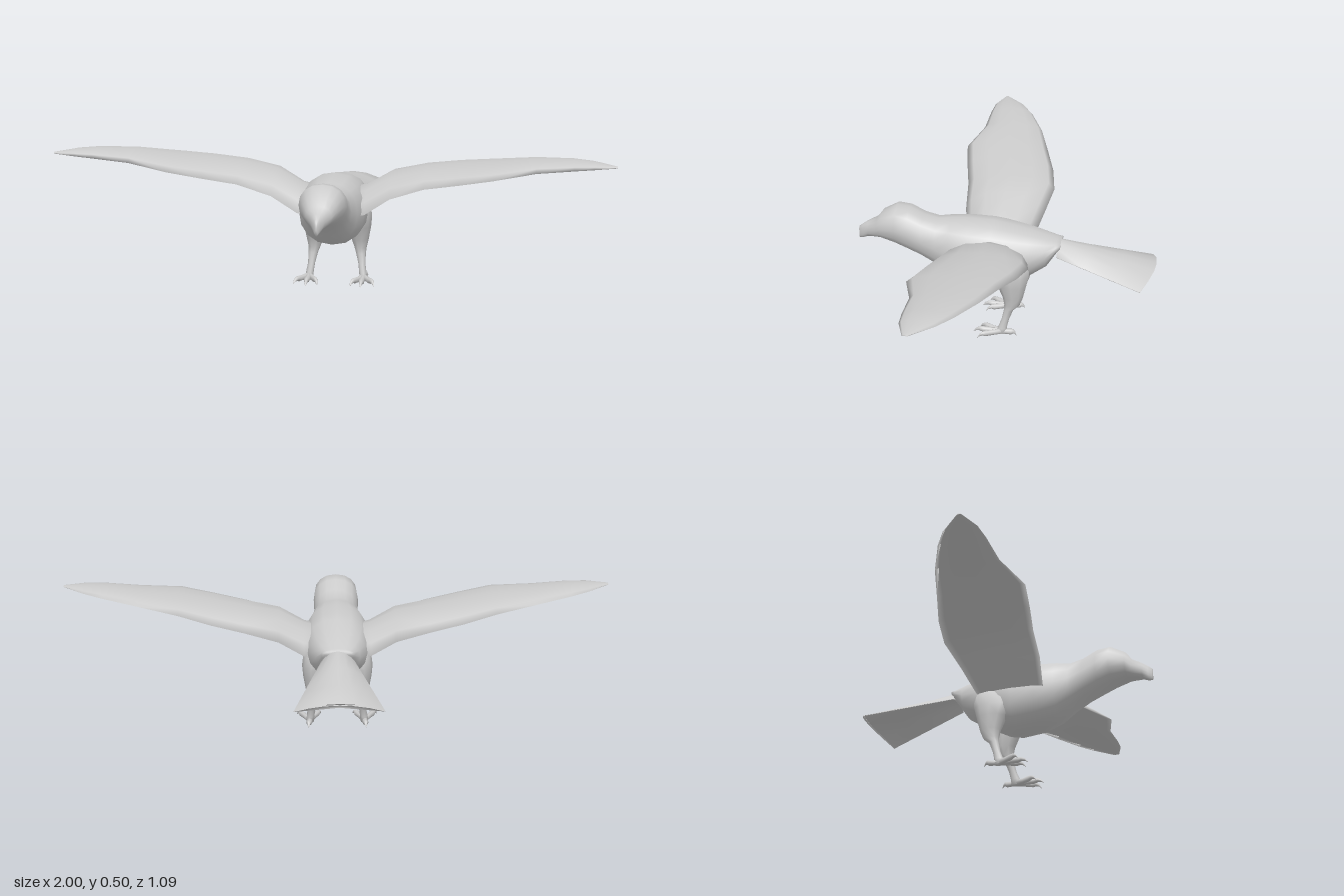
import * as THREE from 'three';

const material = new THREE.MeshStandardMaterial({ color: 0xcccccc, side: THREE.DoubleSide });

// Smooth closed skin over a row of rings, each an array of [x, y, z]
function loft(rings) {
  const n = rings[0].length;
  const pos = rings.flat();
  const tris = [];
  for (let i = 0; i < rings.length - 1; i++) {
    for (let j = 0; j < n; j++) {
      const a = i * n + j, b = i * n + (j + 1) % n;
      tris.push([a, b, b + n], [a, b + n, a + n]);
    }
  }
  // end caps, fanned from the middle of each end ring
  for (const [start, flip] of [[0, true], [(rings.length - 1) * n, false]]) {
    const ring = pos.slice(start, start + n);
    const c = pos.length;
    pos.push([0, 1, 2].map(k => ring.reduce((s, p) => s + p[k], 0) / n));
    for (let j = 0; j < n; j++) {
      const a = start + j, b = start + (j + 1) % n;
      tris.push(flip ? [c, b, a] : [c, a, b]);
    }
  }
  // turn all faces outward, judged by the signed volume
  const v = i => new THREE.Vector3(...pos[i]);
  const volume = tris.reduce((s, [a, b, c]) => s + v(a).dot(v(b).cross(v(c))), 0);
  if (volume < 0) tris.forEach(t => t.reverse());
  const g = new THREE.BufferGeometry();
  g.setAttribute('position', new THREE.Float32BufferAttribute(pos.flat(), 3));
  g.setIndex(tris.flat());
  g.computeVertexNormals();
  return g;
}

// n points around a slightly squared circle
function round(n, power = 1) {
  const soft = t => Math.sign(t) * Math.abs(t) ** power;
  return Array.from({ length: n }, (_, i) => {
    const a = (i / n) * Math.PI * 2;
    return [soft(Math.cos(a)), soft(Math.sin(a))];
  });
}

function part(name, geometry) {
  const mesh = new THREE.Mesh(geometry, material);
  mesh.name = name;
  return mesh;
}

// Beak, head, neck and trunk in one skin: [z, top, bottom, half width]
function body() {
  const sections = [
    [0.545, 0.35, 0.305, 0.006], [0.53, 0.362, 0.306, 0.014], [0.51, 0.375, 0.315, 0.025],
    [0.475, 0.392, 0.318, 0.045], [0.455, 0.42, 0.318, 0.06], [0.4, 0.449, 0.303, 0.08],
    [0.353, 0.443, 0.283, 0.084], [0.303, 0.418, 0.26, 0.082], [0.25, 0.405, 0.228, 0.085],
    [0.2, 0.412, 0.192, 0.1], [0.134, 0.415, 0.169, 0.118], [0.047, 0.412, 0.16, 0.122],
    [0, 0.405, 0.17, 0.12], [-0.09, 0.385, 0.215, 0.105], [-0.15, 0.368, 0.255, 0.08],
    [-0.185, 0.356, 0.31, 0.06], [-0.2, 0.352, 0.33, 0.05],
  ];
  return loft(sections.map(([z, top, bottom, w]) => round(16, 0.9).map(([c, s]) =>
    [c * w, (top + bottom) / 2 + s * (top - bottom) / 2, z])));
}

// Cambered wing with a hollow underside: [x, leading z, trailing z, top, bottom]
function wing() {
  const sections = [
    [0.05, 0.16, -0.07, 0.36, 0.28], [0.12, 0.17, -0.08, 0.377, 0.29],
    [0.21, 0.187, -0.108, 0.425, 0.353], [0.33, 0.2, -0.128, 0.446, 0.395],
    [0.45, 0.225, -0.107, 0.463, 0.418], [0.57, 0.246, -0.07, 0.477, 0.442],
    [0.72, 0.203, -0.024, 0.491, 0.463], [0.85, 0.2, 0.033, 0.498, 0.475],
    [0.92, 0.194, 0.075, 0.496, 0.48], [1, 0.166, 0.15, 0.487, 0.482],
  ];
  const n = 6;
  return loft(sections.map(([x, lead, trail, top, bottom]) => {
    const hollow = 0.45 * THREE.MathUtils.smoothstep(x, 0.1, 0.4);
    return Array.from({ length: 2 * n }, (_, i) => {
      const a = (i / n) * Math.PI;
      const height = Math.abs(Math.sin(a)) * (i <= n ? 1 : hollow);
      return [x, bottom + height * (top - bottom), (lead + trail) / 2 + Math.cos(a) * (lead - trail) / 2];
    });
  }));
}

// Fan of tail feathers, arched across
function tail() {
  const across = [-1, -0.67, -0.33, 0, 0.33, 0.67, 1];
  const rings = [0, 0.33, 0.67, 1].map(t => {
    const point = (u, drop) => [
      u * THREE.MathUtils.lerp(0.06, 0.155, t),
      THREE.MathUtils.lerp(0.354, 0.289, t) - u * u * 0.044 - drop,
      THREE.MathUtils.lerp(-0.19, -0.545, t) + u * u * 0.045 * t,
    ];
    return [...across.map(u => point(u, 0)), ...across.map(u => point(-u, 0.006 - 0.004 * u * u))];
  });
  return loft(rings);
}

// Feathered thigh narrowing to the shank: [y, x, z, radius x, radius z]
function leg() {
  const sections = [
    [0.3, 0.08, -0.03, 0.04, 0.07], [0.24, 0.083, -0.028, 0.045, 0.07],
    [0.2, 0.082, -0.033, 0.042, 0.055], [0.15, 0.083, -0.037, 0.032, 0.038],
    [0.12, 0.085, -0.034, 0.023, 0.029], [0.1, 0.088, -0.022, 0.018, 0.018],
    [0.06, 0.093, -0.01, 0.013, 0.014], [0.028, 0.098, 0, 0.014, 0.017], [0.008, 0.1, 0, 0.014, 0.02],
  ];
  return loft(sections.map(([y, x, z, rx, rz]) => round(10).map(([c, s]) => [x + c * rx, y, z + s * rz])));
}

// One toe from the ankle to a hooked claw: [share of length, height, radius]
function toe(tipX, tipZ) {
  const profile = [[0, 0.016, 0.012], [0.35, 0.015, 0.01], [0.65, 0.016, 0.011],
    [0.78, 0.018, 0.008], [0.9, 0.014, 0.005], [1, 0.004, 0.001]];
  return loft(profile.map(([t, y, r]) => round(8).map(([c, s]) =>
    [0.1 + (tipX - 0.1) * t + c * r, y + s * r, tipZ * t])));
}

export function createModel() {
  const model = new THREE.Group();
  model.name = 'bird';
  model.add(part('body', body()), part('tail', tail()));

  const wingGeometry = wing();
  const legGeometry = leg();
  const toes = [[0.06, 0.088], [0.1, 0.107], [0.147, 0.085], [0.105, -0.053]].map(p => toe(...p));

  // paired limbs, mirrored across the middle
  for (const [side, sign] of [['left', 1], ['right', -1]]) {
    const foot = new THREE.Group();
    foot.name = side + 'Foot';
    toes.forEach((g, i) => foot.add(part(i < 3 ? 'frontToe' : 'hindToe', g)));
    const limbs = new THREE.Group();
    limbs.name = side + 'Limbs';
    limbs.add(part(side + 'Wing', wingGeometry), part(side + 'Leg', legGeometry), foot);
    limbs.scale.x = sign;
    model.add(limbs);
  }
  return model;
}
